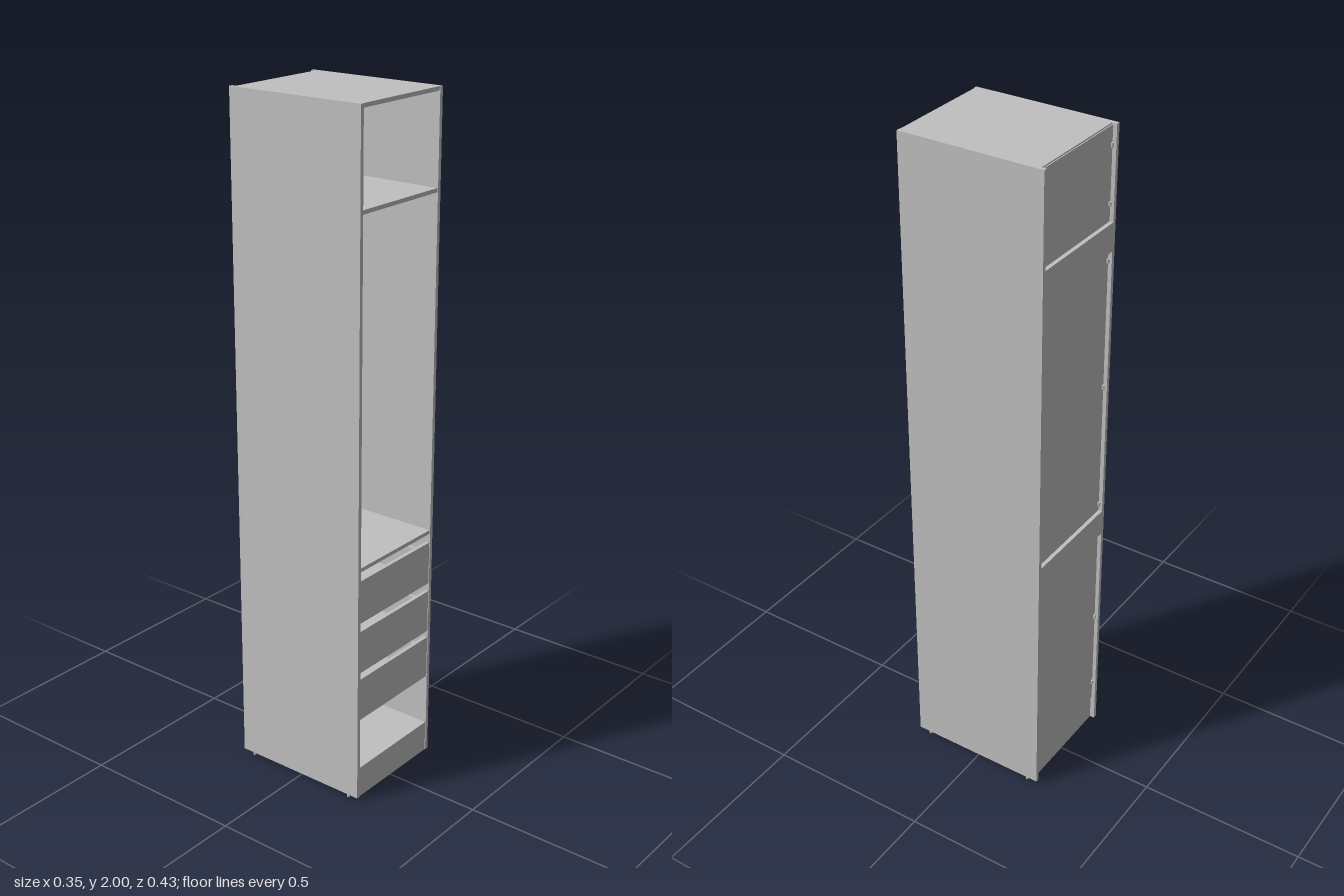
import * as THREE from 'three';

export function createModel() {
  const model = new THREE.Group();
  model.name = 'tallCabinet';
  const grey = new THREE.MeshStandardMaterial({ color: 0xc0c0c0 });
  grey.name = 'light grey board';

  // Box given by its lower and upper corners
  const board = (name, x0, x1, y0, y1, z0, z1, parent = model) => {
    const mesh = new THREE.Mesh(new THREE.BoxGeometry(x1 - x0, y1 - y0, z1 - z0), grey);
    mesh.position.set((x0 + x1) / 2, (y0 + y1) / 2, (z0 + z1) / 2);
    mesh.name = name;
    parent.add(mesh);
    return mesh;
  };
  const pin = (name, radius, length, x, y, z, alongX = false) => {
    const mesh = new THREE.Mesh(new THREE.CylinderGeometry(radius, radius, length, 16), grey);
    if (alongX) mesh.rotation.z = Math.PI / 2;
    mesh.position.set(x, y, z);
    mesh.name = name;
    model.add(mesh);
    return mesh;
  };

  const W = 0.1735, IN = 0.162, BACK = -0.216, FRONT = 0.216;

  // Side panels
  board('leftSide', IN, W, 0.01, 2, BACK, FRONT);
  board('rightSide', -W, -IN, 0.01, 2, BACK, FRONT);

  // Top, shelves and bottom board, given by upper surface
  for (const [name, y] of [['topBoard', 2], ['upperShelf', 1.733], ['middleShelf', 0.739], ['bottomBoard', 0.105]]) {
    board(name, -IN, IN, y - 0.0115, y, -0.2015, 0.214);
  }

  // Plinth boards
  board('frontPlinth', -IN, IN, 0.01, 0.0935, 0.2025, 0.214);
  board('backPlinth', -IN, IN, 0.01, 0.0935, -0.2015, -0.19);

  // Thin back panels and the rails covering their joints
  for (const [y0, y1] of [[0.0935, 0.733], [0.733, 1.727], [1.727, 1.996]]) {
    board('backPanel', -IN, IN, y0, y1, -0.2045, -0.2015);
  }
  board('upperBackRail', -IN, IN, 1.648, 1.731, BACK, -0.2045);
  board('lowerBackRail', -IN, IN, 0.735, 0.815, BACK, -0.2045);

  // Hanging rod, an upright oval in section
  const rod = pin('hangingRod', 0.0065, 2 * IN, 0, 1.674, 0, true);
  rod.scale.x = 1.85;

  // Three drawers, open at the top
  for (const y of [0.263, 0.414, 0.57]) {
    const drawer = new THREE.Group();
    drawer.name = 'drawer';
    board('drawerFront', -IN, IN, y, y + 0.13, 0.2025, 0.214, drawer);
    for (const s of [-1, 1]) {
      board('drawerSide', s * 0.15 - 0.005, s * 0.15 + 0.005, y + 0.012, y + 0.105, -0.17, 0.2025, drawer);
    }
    board('drawerBack', -0.145, 0.145, y + 0.012, y + 0.105, -0.17, -0.16, drawer);
    board('drawerBottom', -0.145, 0.145, y + 0.018, y + 0.022, -0.16, 0.2025, drawer);
    model.add(drawer);
  }

  for (const s of [-1, 1]) {
    // Clips holding the back panels
    for (const y of [0.16, 0.422, 0.84, 1.234, 1.62, 1.783, 1.944]) {
      pin('backClip', 0.004, 0.012, s * 0.157, y, -0.207);
    }
    // Screw caps on the side panels
    const caps = [[0.79, -0.21], [0.77, -0.21], [0.07, -0.18], [0.04, -0.18], [0.05, 0.207]];
    for (const y of [0.099, 0.733, 1.727, 1.994]) caps.push([y, -0.145], [y, 0.16]);
    for (const [y, z] of caps) pin('screwCap', 0.0025, 0.001, s * W, y, z, true);
    // Glides under the sides
    for (const z of [-0.18, 0.18]) pin('glide', 0.005, 0.01, s * 0.1675, 0.005, z);
  }
  return model;
}
